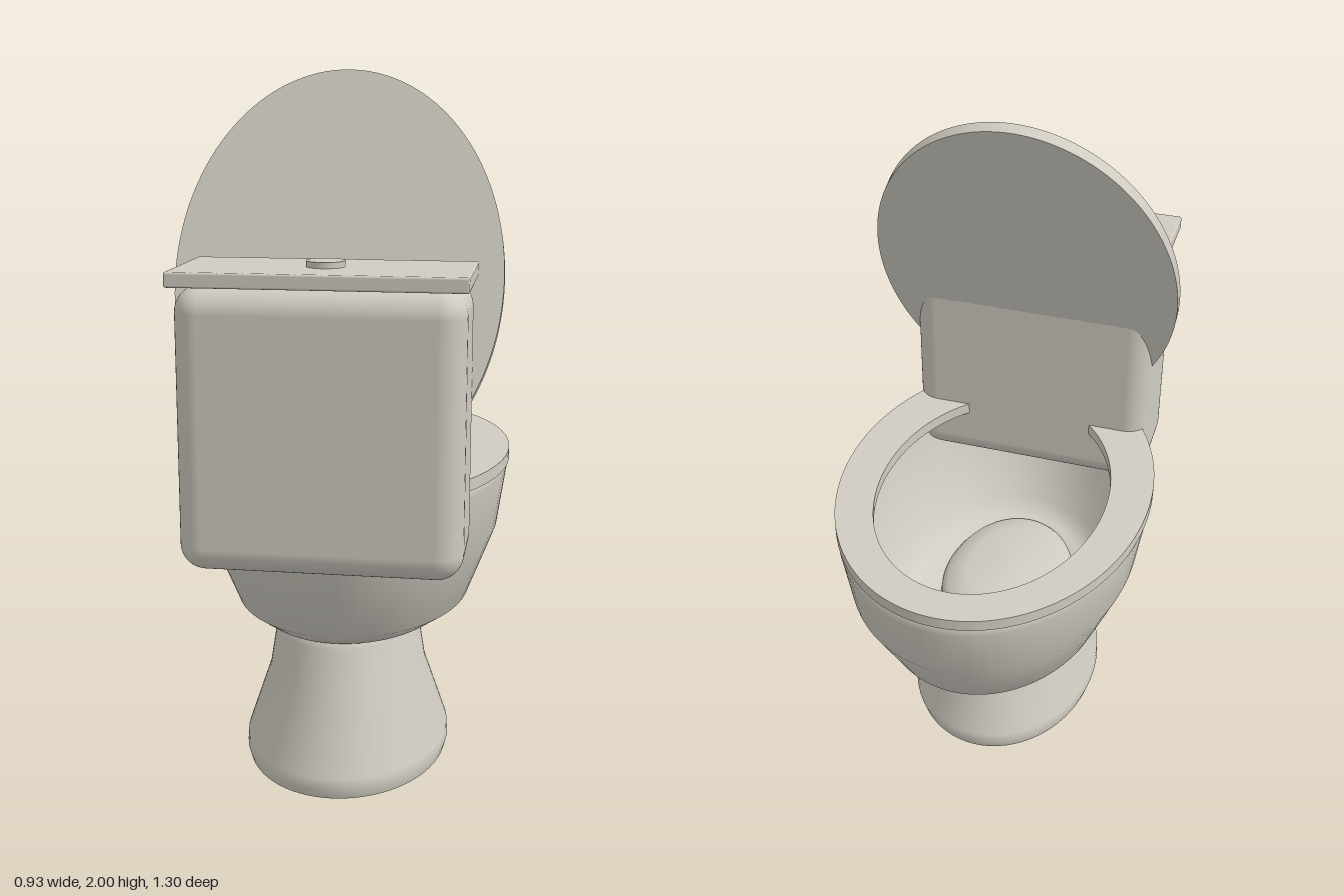
import * as THREE from 'three';
import { RoundedBoxGeometry } from 'three/addons/geometries/RoundedBoxGeometry.js';

const SEGMENTS = 72;

// Skin a stack of ellipses, bottom to top: [y, half width, min z, max z]
function loft(rings) {
  const pos = [], index = [];
  rings.forEach(([y, rx, z0, z1], i) => {
    for (let j = 0; j < SEGMENTS; j++) {
      const a = (j / SEGMENTS) * Math.PI * 2;
      pos.push(rx * Math.cos(a), y, (z0 + z1) / 2 + ((z1 - z0) / 2) * Math.sin(a));
      if (i === rings.length - 1) continue;
      const p = i * SEGMENTS + j, q = i * SEGMENTS + ((j + 1) % SEGMENTS);
      index.push(p, p + SEGMENTS, q, q, p + SEGMENTS, q + SEGMENTS);
    }
  });
  const g = new THREE.BufferGeometry();
  g.setAttribute('position', new THREE.Float32BufferAttribute(pos, 3));
  g.setIndex(index);
  g.computeVertexNormals();
  return g;
}

export function createModel() {
  const group = new THREE.Group();
  const ceramic = new THREE.MeshStandardMaterial({ color: 0xd0ccc2, side: THREE.DoubleSide });
  ceramic.name = 'ceramic';

  const add = (name, geometry, x = 0, y = 0, z = 0) => {
    const mesh = new THREE.Mesh(geometry, ceramic);
    mesh.name = name;
    mesh.position.set(x, y, z);
    group.add(mesh);
    return mesh;
  };

  // Flared foot; its domed top shows inside the bowl (repeated ring = hard edge)
  add('pedestal', loft([
    [0, 0, 0.09, 0.09],
    [0, 0.295, -0.3, 0.485],
    [0, 0.295, -0.3, 0.485],
    [0.025, 0.302, -0.308, 0.493],
    [0.06, 0.3, -0.306, 0.491],
    [0.26, 0.232, -0.22, 0.405],
    [0.4, 0.21, -0.197, 0.38],
    [0.43, 0.19, -0.17, 0.35],
    [0.45, 0.13, -0.09, 0.27],
    [0.457, 0, 0.09, 0.09],
  ]));

  // Open bowl shell
  add('bowl', loft([
    [0.365, 0, -0.15, -0.15],
    [0.365, 0.2, -0.33, 0.03],
    [0.42, 0.29, -0.43, 0.375],
    [0.46, 0.35, -0.5, 0.43],
    [0.67, 0.432, -0.62, 0.545],
    [0.85, 0.459, -0.65, 0.58],
    [0.872, 0.45, -0.638, 0.57],
  ]));

  // Seat ring
  const ring = new THREE.Shape().absellipse(0, -0.035, 0.465, 0.61, 0, Math.PI * 2);
  ring.holes.push(new THREE.Path().absellipse(0, -0.07, 0.342, 0.47, 0, Math.PI * 2));
  const seat = new THREE.ExtrudeGeometry(ring, { depth: 0.035, bevelEnabled: false, curveSegments: 64 });
  seat.rotateX(Math.PI / 2);
  add('seat', seat, 0, 0.905, 0);

  // Raised lid: an oval cut straight at the hinge, leaning on the tank
  const cut = Math.asin(0.335 / 0.585);
  const oval = new THREE.Shape().absellipse(0, 0, 0.453, 0.585, -cut, Math.PI + cut);
  const lid = new THREE.ExtrudeGeometry(oval, { depth: 0.036, bevelEnabled: false, curveSegments: 64 });
  lid.translate(0, 0, -0.018);
  add('seatLid', lid, 0, 1.443, 0.276).rotation.x = -0.342;

  // Water tank, cover and flush button
  add('tank', new RoundedBoxGeometry(0.755, 0.76, 0.33, 6, 0.07), 0, 1.08, 0.477);
  add('tankCover', new RoundedBoxGeometry(0.77, 0.04, 0.352, 2, 0.006), 0, 1.48, 0.476);
  add('flushButton', new THREE.CylinderGeometry(0.051, 0.051, 0.02, 40), 0, 1.506, 0.475);

  return group;
}
